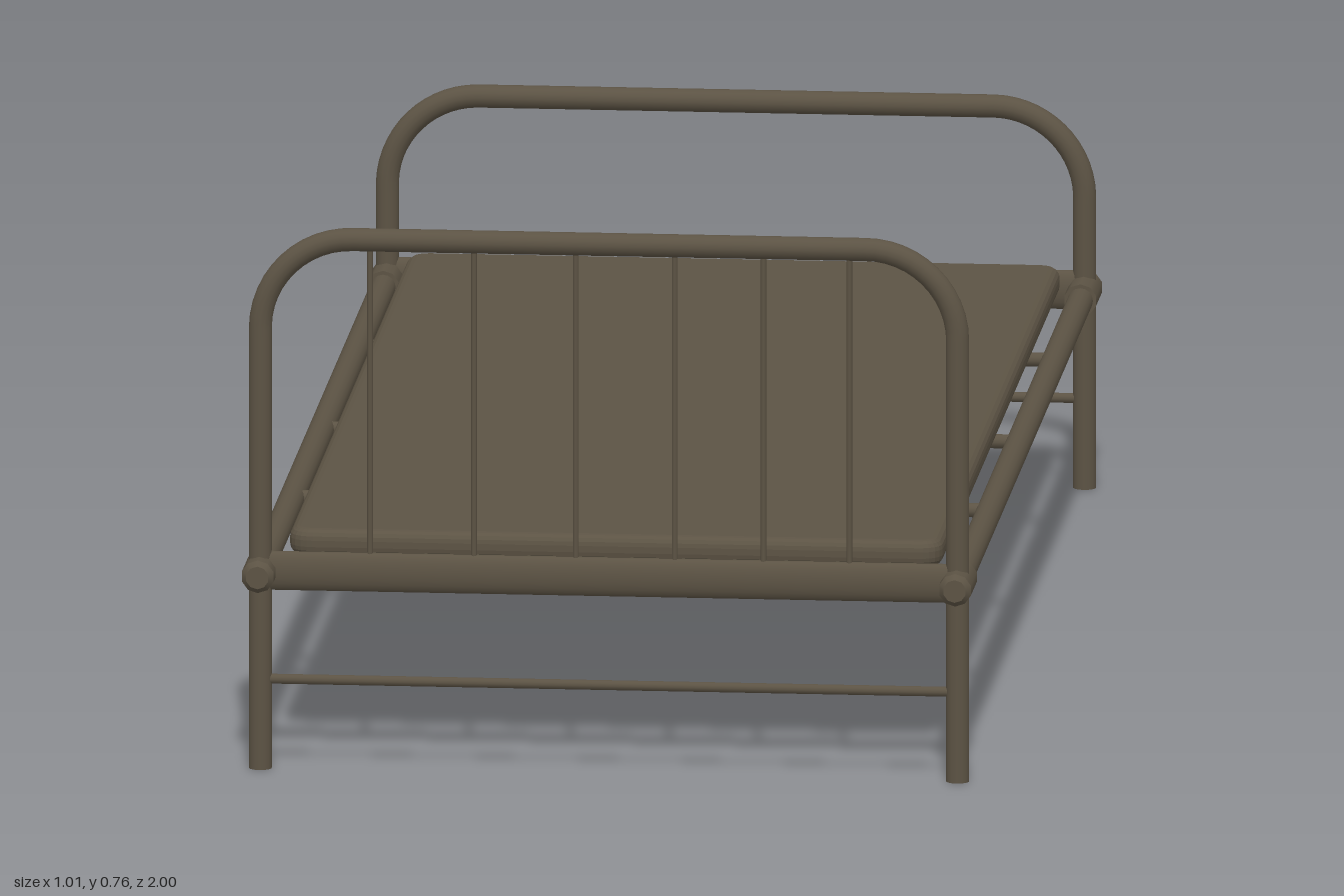
import * as THREE from 'three';

const iron = new THREE.MeshStandardMaterial({ color: 0x5c5344 });
iron.name = 'drab iron';

const HALF = 0.483;   // leg centre line
const RAIL_Y = 0.278; // side rail height

function add(parent, name, geometry, x = 0, y = 0, z = 0) {
  const mesh = new THREE.Mesh(geometry, iron);
  mesh.name = name;
  mesh.position.set(x, y, z);
  parent.add(mesh);
  return mesh;
}

const rodX = (r, length, sides = 12) => new THREE.CylinderGeometry(r, r, length, sides).rotateZ(Math.PI / 2);
const rodZ = (r, length, sides = 16) => new THREE.CylinderGeometry(r, r, length, sides).rotateX(Math.PI / 2);

// Bent tube running up one leg, over the top and down the other
function hoopGeometry(top, bend) {
  const v = (x, y) => new THREE.Vector3(x, y, 0);
  const k = bend * 0.448; // handle offset for a quarter circle
  const path = new THREE.CurvePath();
  const corner = (s) => [
    v(s * HALF, top - bend), v(s * HALF, top - k),
    v(s * (HALF - k), top), v(s * (HALF - bend), top),
  ];
  path.add(new THREE.LineCurve3(v(-HALF, 0), v(-HALF, top - bend)));
  path.add(new THREE.CubicBezierCurve3(...corner(-1)));
  path.add(new THREE.LineCurve3(v(bend - HALF, top), v(HALF - bend, top)));
  path.add(new THREE.CubicBezierCurve3(...corner(1).reverse()));
  path.add(new THREE.LineCurve3(v(HALF, top - bend), v(HALF, 0)));
  return new THREE.TubeGeometry(path, 140, 0.016, 14);
}

function bedEnd(name, z, top, barXs) {
  const end = new THREE.Group();
  end.name = name;
  end.position.z = z;
  add(end, 'hoop', hoopGeometry(top, 0.127));
  // Closed leg bottoms
  for (const s of [-1, 1]) {
    add(end, 'footCap', new THREE.CircleGeometry(0.016, 14).rotateX(Math.PI / 2), s * HALF, 0.001, 0);
  }
  // Flattened cross tube and thin lower stretcher
  add(end, 'crossPanel', rodX(0.0275, 2 * HALF - 0.02, 20).scale(1, 1, 0.45), 0, 0.279, 0);
  add(end, 'stretcher', rodX(0.007, 2 * HALF), 0, 0.126, 0);
  for (const x of barXs) {
    const h = top - 0.295;
    add(end, 'bar', new THREE.CylinderGeometry(0.004, 0.004, h, 8), x, 0.295 + h / 2, 0);
  }
  return end;
}

// Thin mattress: rounded plan with a soft bevelled edge
function mattressGeometry(w, length, h) {
  const bevel = 0.015, r = 0.02;
  const a = w / 2 - bevel, b = length / 2 - bevel;
  const s = new THREE.Shape();
  s.moveTo(-a + r, -b);
  s.lineTo(a - r, -b).quadraticCurveTo(a, -b, a, -b + r);
  s.lineTo(a, b - r).quadraticCurveTo(a, b, a - r, b);
  s.lineTo(-a + r, b).quadraticCurveTo(-a, b, -a, b - r);
  s.lineTo(-a, -b + r).quadraticCurveTo(-a, -b, -a + r, -b);
  return new THREE.ExtrudeGeometry(s, {
    depth: h - 2 * bevel, bevelEnabled: true, bevelSize: bevel,
    bevelThickness: bevel, bevelSegments: 4, curveSegments: 6,
  }).rotateX(-Math.PI / 2).translate(0, bevel, 0);
}

export function createModel() {
  const bed = new THREE.Group();
  bed.name = 'bed';

  bed.add(bedEnd('headEnd', 0.952, 0.748, [-0.331, -0.187, -0.046, 0.091, 0.214, 0.333]));
  bed.add(bedEnd('footEnd', -0.968, 0.536, []));

  // Side rails with joint sleeves at the legs
  for (const s of [-1, 1]) {
    add(bed, 'sideRail', rodZ(0.0175, 1.92), s * HALF, RAIL_Y, 0);
    for (const e of [-1, 1]) {
      add(bed, 'jointSleeve', rodZ(0.023, 0.09, 10), s * HALF, RAIL_Y, e * 0.947);
      const cap = add(bed, 'sleeveCap', new THREE.CylinderGeometry(0.016, 0.023, 0.008, 10).rotateX(Math.PI / 2), s * HALF, RAIL_Y, e * 0.996);
      if (e < 0) cap.rotation.y = Math.PI;
    }
  }

  // Slats under the mattress
  for (const z of [-0.515, 0.02, 0.47]) {
    add(bed, 'slat', rodX(0.01, 2 * HALF), 0, RAIL_Y, z);
  }

  add(bed, 'mattress', mattressGeometry(0.905, 1.825, 0.039), 0.002, 0.284, -0.023);
  return bed;
}
